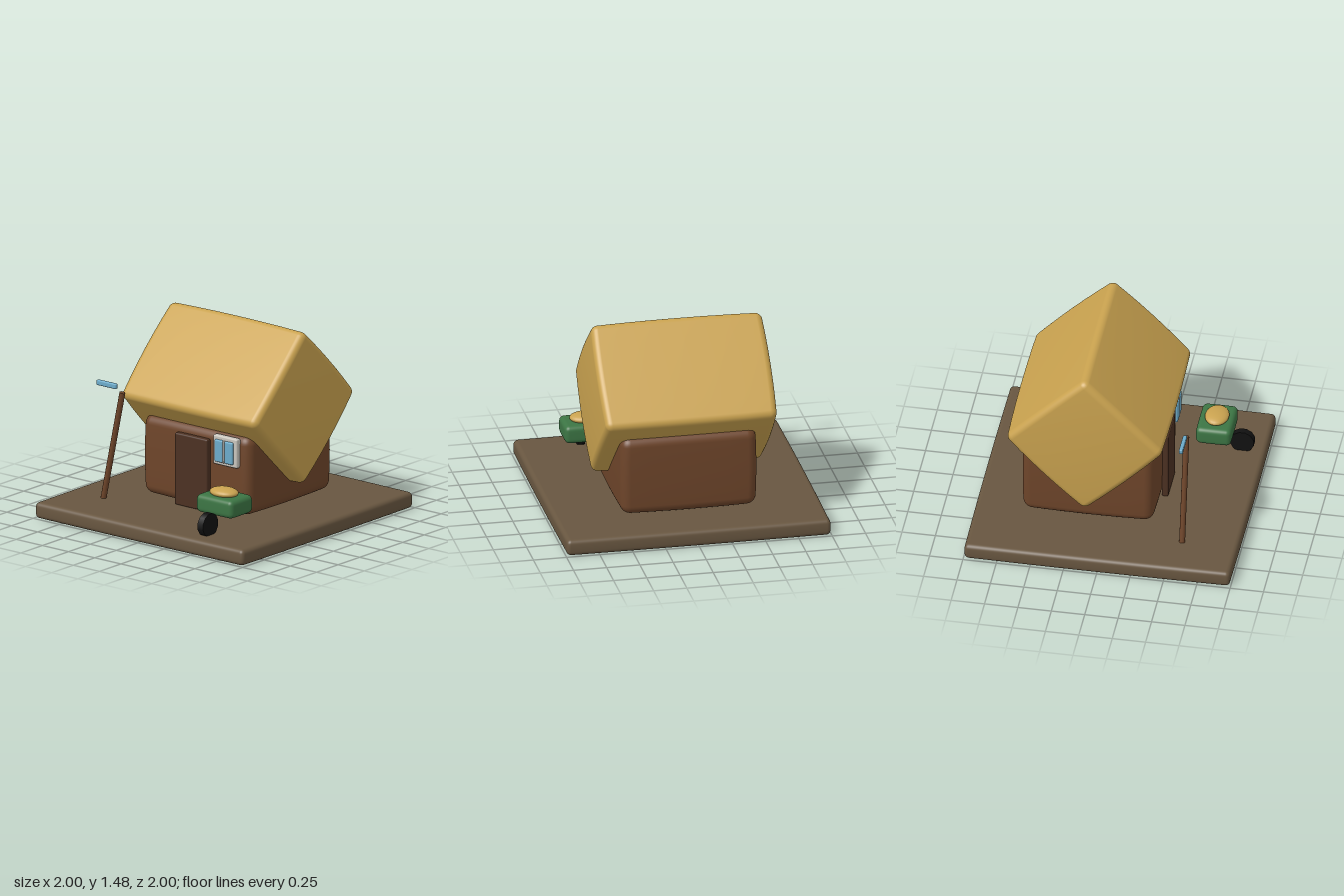
import * as THREE from 'three';
import { mergeVertices } from 'three/addons/utils/BufferGeometryUtils.js';

// Box with rounded edges and gently bulging faces
function softBox(w, h, d, r, bulge = 0.03) {
  const N = 14, E = 4; // E segments of each side lie in the rounded edge
  const half = [w / 2, h / 2, d / 2];
  let g = new THREE.BoxGeometry(2, 2, 2, N, N, N);
  g.deleteAttribute('uv');
  g.deleteAttribute('normal');
  g = mergeVertices(g, 1e-4);
  const pos = g.attributes.position;
  for (let i = 0; i < pos.count; i++) {
    const p = [pos.getX(i), pos.getY(i), pos.getZ(i)].map((u, a) => {
      const k = Math.abs(u) * N / 2, flat = N / 2 - E, inner = half[a] - r;
      const v = k <= flat ? inner * k / flat : inner + r * (k - flat) / E;
      return Math.sign(u) * v;
    });
    const core = p.map((v, a) => THREE.MathUtils.clamp(v, r - half[a], half[a] - r));
    const dir = new THREE.Vector3(...p.map((v, a) => v - core[a])).setLength(r).toArray();
    const q = core.map((v, a) => v + dir[a]);
    const s = q.map((v, a) => (v / half[a]) ** 2);
    const sum = s[0] + s[1] + s[2];
    const out = q.map((v, a) => v * (1 - bulge * (sum - s[a]) / 2));
    pos.setXYZ(i, ...out);
  }
  g.computeVertexNormals();
  return g;
}

export function createModel() {
  const root = new THREE.Group();
  const mat = (name, color) => {
    const m = new THREE.MeshStandardMaterial({ color });
    m.name = name;
    return m;
  };
  const earth = mat('earth', 0x685640);
  const wood = mat('wood', 0x6e452a);
  const darkWood = mat('dark wood', 0x4c3122);
  const thatch = mat('thatch', 0xc9a24f);
  const green = mat('green paint', 0x3c7544);
  const blue = mat('blue', 0x6cabca);
  const white = mat('off white', 0xc9c5bd);
  const black = mat('black', 0x111111);

  const add = (parent, name, geometry, material, x, y, z) => {
    const m = new THREE.Mesh(geometry, material);
    m.name = name;
    m.position.set(x, y, z);
    parent.add(m);
    return m;
  };
  const group = (name) => {
    const g = new THREE.Group();
    g.name = name;
    root.add(g);
    return g;
  };

  // Ground slab
  add(root, 'ground', softBox(2, 0.125, 2, 0.03, 0.012), earth, 0, 0.0625, 0);

  // Cottage
  const house = group('cottage');
  add(house, 'walls', softBox(1.04, 0.62, 1.0, 0.07), wood, 0, 0.44, -0.155);
  const roof = add(house, 'roof', softBox(1.33, 0.874, 0.874, 0.05, 0.038), thatch, 0, 0.89, -0.158);
  roof.rotation.x = Math.PI / 4;
  add(house, 'door', softBox(0.31, 0.555, 0.05, 0.012, 0.01), darkWood, 0, 0.403, 0.363);

  // Window
  const win = group('window');
  add(win, 'windowFrame', softBox(0.23, 0.225, 0.05, 0.012, 0.01), white, 0.315, 0.617, 0.35);
  for (const s of [-1, 1])
    add(win, 'windowPane', softBox(0.078, 0.17, 0.03, 0.01, 0.01), blue, 0.313 + s * 0.047, 0.615, 0.378);
  add(win, 'mullion', softBox(0.018, 0.17, 0.03, 0.005, 0.01), white, 0.313, 0.615, 0.378);

  // Leaning tool with a loose blade
  const tool = group('tool');
  const a = new THREE.Vector3(-0.67, 0.125, 0.583), b = new THREE.Vector3(-0.49, 0.968, 0.583);
  const dir = b.clone().sub(a);
  const handle = add(tool, 'toolHandle', new THREE.CylinderGeometry(0.022, 0.022, dir.length(), 12),
    wood, ...a.clone().add(b).multiplyScalar(0.5).toArray());
  handle.quaternion.setFromUnitVectors(new THREE.Vector3(0, 1, 0), dir.normalize());
  add(tool, 'toolBlade', softBox(0.188, 0.04, 0.03, 0.009, 0.01), blue, -0.637, 1.004, 0.583);

  // Wheelbarrow
  const barrow = group('wheelbarrow');
  add(barrow, 'tray', softBox(0.35, 0.14, 0.265, 0.035), green, 0.525, 0.32, 0.633);
  const load = add(barrow, 'load', new THREE.SphereGeometry(1, 24, 16), thatch, 0.523, 0.407, 0.635);
  load.scale.set(0.118, 0.037, 0.09);
  const wheelShape = new THREE.CylinderGeometry(0.09, 0.09, 0.052, 12);
  wheelShape.rotateY(Math.PI / 12);
  wheelShape.rotateZ(Math.PI / 2);
  add(barrow, 'wheel', wheelShape, black, 0.525, 0.2, 0.826);

  return root;
}
